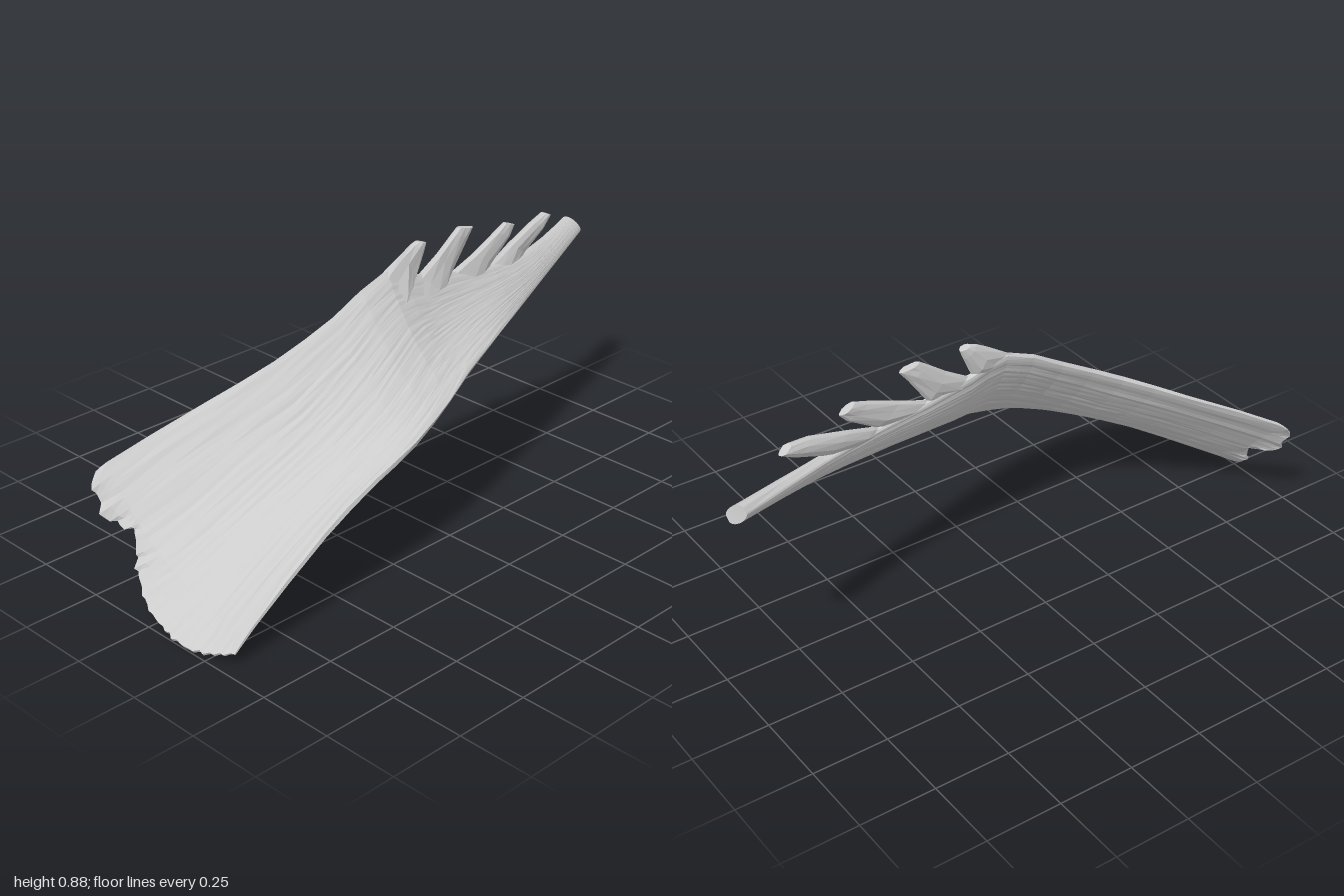
import * as THREE from 'three';

const V3 = (x, y, z) => new THREE.Vector3(x, y, z);
const lerp = THREE.MathUtils.lerp;

// Small seeded noise in the range -1..1
function makeNoise(seed) {
  let s = seed;
  return () => {
    s = (s * 16807) % 2147483647;
    return (s / 2147483647) * 2 - 1;
  };
}

// Cross-sections of the sheet: z, upper edge x y, middle x y, lower edge x y
const SECTIONS = [
  [0.88, -0.315, 0.378, -0.01, 0.12, 0.33, 0.1],
  [0.6, -0.192, 0.518, 0.07, 0.292, 0.325, 0.275],
  [0.4, -0.106, 0.615, 0.115, 0.395, 0.322, 0.368],
  [0.2, -0.056, 0.714, 0.125, 0.503, 0.295, 0.412],
  [0, -0.036, 0.808, 0.088, 0.598, 0.245, 0.47],
  [-0.12, -0.023, 0.77, 0.068, 0.605, 0.205, 0.506],
  [-0.27, -0.017, 0.735, 0.048, 0.616, 0.155, 0.533],
  [-0.45, -0.017, 0.705, 0.03, 0.626, 0.09, 0.559],
  [-0.65, -0.045, 0.688, -0.01, 0.638, 0.024, 0.597],
  [-0.965, -0.148, 0.694, -0.122, 0.671, -0.097, 0.648],
];

// Frayed edge of the fan
const FAN = new THREE.CatmullRomCurve3([
  V3(-0.33, 0.345, 0.925), V3(-0.3, 0.285, 0.938), V3(-0.255, 0.228, 0.925),
  V3(-0.175, 0.203, 0.9), V3(-0.125, 0.12, 0.932), V3(-0.05, 0.056, 0.968),
  V3(0.05, 0.017, 0.988), V3(0.14, 0.007, 0.997), V3(0.24, 0.013, 0.985),
  V3(0.33, 0.042, 0.95),
]);

// Point of a section: a parabola through its three points
function sectionPoint([z, ax, ay, mx, my, bx, by], t) {
  const a = (1 - t) * (1 - 2 * t), m = 4 * t * (1 - t), b = t * (2 * t - 1);
  const tipSlant = z < -0.9 ? -0.03 * t : 0;
  return V3(a * ax + m * mx + b * bx, a * ay + m * my + b * by, z + tipSlant);
}

// Sideways position of the sheet's middle at a given z and height
function sheetX(z, y) {
  let i = 0;
  while (i < SECTIONS.length - 2 && SECTIONS[i + 1][0] > z) i++;
  const a = SECTIONS[i], b = SECTIONS[i + 1];
  const f = (z - a[0]) / (b[0] - a[0]);
  const section = a.map((value, k) => lerp(value, b[k], f));
  let p = sectionPoint(section, 0);
  for (let t = 0.02; t <= 1 && p.y > y; t += 0.02) p = sectionPoint(section, t);
  return p.x;
}

// Two-triangle strips around stacked closed rings
function addWalls(index, rings, size) {
  for (let j = 0; j < rings - 1; j++) {
    for (let i = 0; i < size; i++) {
      const a = j * size + i, b = j * size + ((i + 1) % size);
      index.push(a, b, a + size, b, b + size, a + size);
    }
  }
}

function buildGeometry(pos, index) {
  const g = new THREE.BufferGeometry();
  g.setAttribute('position', new THREE.Float32BufferAttribute(pos, 3));
  g.setIndex(index);
  g.computeVertexNormals();
  return g;
}

// Closed twisted sheet with fibre ridges running along it
function sheetGeometry() {
  const N = 46, M = 20, noise = makeNoise(71);
  const grid = [], ridge = [];
  for (let i = 0; i <= N; i++) {
    const t = i / N;
    const start = FAN.getPointAt(t);
    const fray = noise() * (t < 0.4 ? 0.014 : 0.006);
    start.z += fray;
    start.y -= fray * 0.5;
    const points = [start, ...SECTIONS.map((s) => sectionPoint(s, t))];
    grid.push(new THREE.CatmullRomCurve3(points).getPoints(M));
    ridge.push(noise());
  }

  const pos = [], index = [], ring = 2 * (N + 1);
  for (let j = 0; j <= M; j++) {
    const v = j / M, top = [], bottom = [];
    for (let i = 0; i <= N; i++) {
      const p = grid[i][j];
      const du = grid[Math.min(i + 1, N)][j].clone().sub(grid[Math.max(i - 1, 0)][j]);
      const dv = grid[i][Math.min(j + 1, M)].clone().sub(grid[i][Math.max(j - 1, 0)]);
      const n = du.cross(dv).normalize();
      const bulge = 0.35 + 0.65 * Math.sqrt(Math.sin((Math.PI * i) / N) + 1e-9);
      const half = (0.006 + 0.008 * Math.min(1, v * 6) + 0.012 * v) * bulge;
      const belly = 0.006 * Math.sin(Math.PI * v) * bulge;
      const rough = 0.0035 * Math.min(1, v * 8) * (1 - 0.85 * v);
      top.push(p.clone().addScaledVector(n, half + rough * 0.6 * noise()));
      bottom.push(p.clone().addScaledVector(n, -half - belly - rough * (ridge[i] + 0.3 * noise())));
    }
    for (const p of [...top, ...bottom.reverse()]) pos.push(p.x, p.y, p.z);
  }
  addWalls(index, M + 1, ring);
  // End caps
  const last = M * ring;
  for (let i = 0; i < N; i++) {
    const a = i, b = i + 1, c = ring - 1 - i, d = ring - 2 - i;
    index.push(a, c, b, b, c, d);
    index.push(last + a, last + b, last + c, last + b, last + d, last + c);
  }
  return buildGeometry(pos, index);
}

// Fingers from root to tip: upper edge z y, lower edge z y, thickness
const FINGERS = [
  [[0.25, 0.66, 0.2, 0.56, 0.012], [0.1, 0.755, 0.02, 0.63, 0.03], [0, 0.814, -0.075, 0.7, 0.036],
    [-0.06, 0.85, -0.112, 0.757, 0.034], [-0.105, 0.874, -0.148, 0.835, 0.032], [-0.125, 0.878, -0.16, 0.866, 0.028]],
  [[0.1, 0.67, 0.05, 0.58, 0.012], [-0.05, 0.73, -0.12, 0.63, 0.03], [-0.125, 0.765, -0.22, 0.68, 0.036],
    [-0.21, 0.815, -0.275, 0.732, 0.036], [-0.28, 0.864, -0.34, 0.825, 0.034], [-0.3, 0.877, -0.37, 0.862, 0.028]],
  [[-0.08, 0.66, -0.1, 0.59, 0.012], [-0.2, 0.7, -0.28, 0.62, 0.03], [-0.28, 0.737, -0.39, 0.67, 0.036],
    [-0.37, 0.768, -0.46, 0.71, 0.036], [-0.48, 0.81, -0.56, 0.775, 0.034], [-0.53, 0.828, -0.588, 0.806, 0.028]],
  [[-0.26, 0.65, -0.3, 0.58, 0.012], [-0.38, 0.68, -0.47, 0.62, 0.03], [-0.46, 0.712, -0.56, 0.655, 0.036],
    [-0.56, 0.745, -0.645, 0.692, 0.04], [-0.69, 0.783, -0.755, 0.74, 0.04], [-0.765, 0.792, -0.808, 0.772, 0.034]],
];

// Flattened tapering loft that grows out of the sheet
function fingerGeometry(stations, noise) {
  const SIDES = 10, pos = [], index = [];
  for (const [zu, yu, zl, yl, thick] of stations) {
    for (let k = 0; k < SIDES; k++) {
      const angle = (k / SIDES) * Math.PI * 2;
      const f = 0.5 - 0.5 * Math.cos(angle);
      const z = lerp(zu, zl, f), y = lerp(yu, yl, f);
      const lean = Math.max(0, -z - 0.6) * 0.12;
      const side = Math.sin(angle) * thick * (0.5 + 0.08 * noise());
      pos.push(sheetX(z, y) + lean + side, y, z);
    }
  }
  addWalls(index, stations.length, SIDES);
  const last = (stations.length - 1) * SIDES;
  for (let k = 1; k < SIDES - 1; k++) {
    index.push(0, k + 1, k);
    index.push(last, last + k, last + k + 1);
  }
  return buildGeometry(pos, index);
}

export function createModel() {
  const model = new THREE.Group();
  model.name = 'fanShapedSheet';
  const grey = new THREE.MeshStandardMaterial({ color: 0xcccccc, flatShading: true });
  grey.name = 'light grey';

  const sheet = new THREE.Mesh(sheetGeometry(), grey);
  sheet.name = 'twistedSheet';
  model.add(sheet);

  const noise = makeNoise(29);
  FINGERS.forEach((stations, i) => {
    const finger = new THREE.Mesh(fingerGeometry(stations, noise), grey);
    finger.name = 'finger' + (i + 1);
    model.add(finger);
  });
  return model;
}
